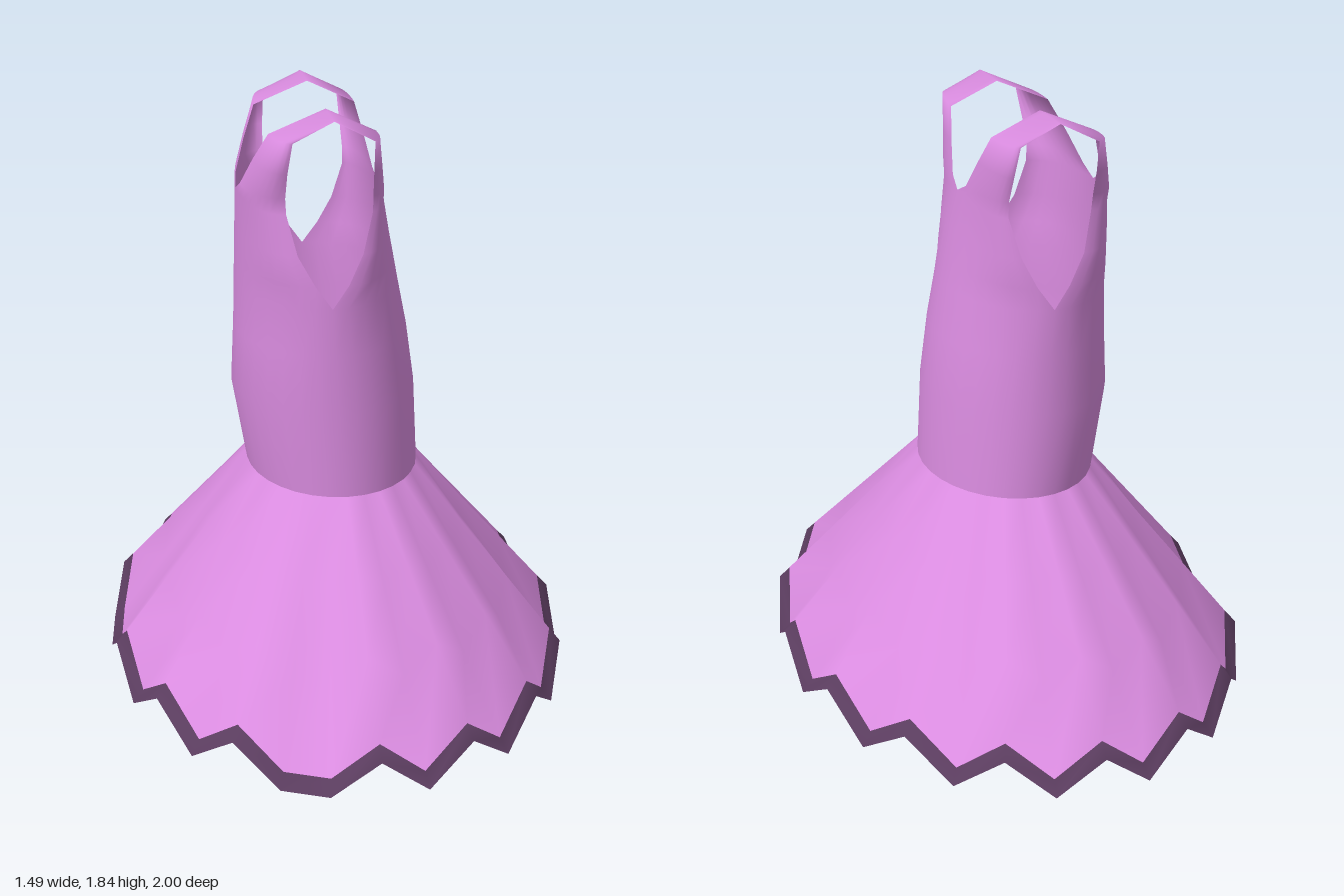
import * as THREE from 'three';
import { mergeGeometries, mergeVertices } from 'three/addons/utils/BufferGeometryUtils.js';

const SEGMENTS = 32;

// Surface through rows of points (bottom to top, each row running to the right seen from outside)
function gridGeometry(rows, closed) {
  const n = rows[0].length;
  const index = [];
  for (let i = 0; i < rows.length - 1; i++) {
    for (let j = 0; j < (closed ? n : n - 1); j++) {
      const k = (j + 1) % n;
      const a = i * n + j, b = i * n + k, c = a + n, d = b + n;
      index.push(a, b, d, a, d, c);
    }
  }
  const g = new THREE.BufferGeometry();
  g.setAttribute('position', new THREE.Float32BufferAttribute(rows.flat(2), 3));
  g.setIndex(index);
  return g;
}

// Elliptical ring; the height comes from a rule per column
function ring(rx, rz, cx, height) {
  return Array.from({ length: SEGMENTS }, (_, j) => {
    const a = (j / SEGMENTS) * Math.PI * 2;
    return [cx + rx * Math.sin(a), height(j), rz * Math.cos(a)];
  });
}

// Zigzag hem: 1 at a peak, 0 at a point; one stretch is shifted by a step
function zigzag(j) {
  const shifted = j >= 24 && j <= 30;
  return (j + (shifted ? 1 : 0)) % 2 === 0 ? 1 : 0;
}

// Bodice rows: centre or neckline edge [y, z, xFront, xBack], then side or armhole edge [y, z, xFront, xBack]
const BODICE = [
  [[0.66, 0, -0.28, 0.27], [0.66, 0.36, -0.005, -0.005]],
  [[0.93, 0, -0.325, 0.257], [0.93, 0.36, -0.03, -0.03]],
  [[1.12, 0, -0.315, 0.23], [1.12, 0.36, -0.04, -0.04]],
  [[1.27, 0, -0.31, 0.2], [1.27, 0.36, -0.05, -0.05]],
  [[1.36, 0, -0.307, 0.183], [1.34, 0.352, -0.1, 0.0]],
  [[1.45, 0, -0.303, 0.165], [1.43, 0.333, -0.15, 0.045]],
  [[1.56, 0, -0.3, 0.143], [1.55, 0.305, -0.18, 0.077]],
  [[1.59, 0.07, -0.293, 0.137], [1.6, 0.31, -0.183, 0.077]],
  [[1.68, 0.14, -0.26, 0.12], [1.68, 0.345, -0.18, 0.073]],
  [[1.77, 0.21, -0.22, 0.1], [1.78, 0.39, -0.17, 0.068]],
  [[1.84, 0.21, -0.05, -0.05], [1.84, 0.39, -0.05, -0.05]],
];

// One quarter of the bodice, from the centre line to the side seam
function bodiceQuarter(back, sz) {
  const steps = SEGMENTS / 4;
  const xi = back ? 3 : 2;
  const rows = BODICE.map(([inner, outer]) => {
    const row = [];
    for (let j = 0; j <= steps; j++) {
      const a = (j / steps) * Math.PI / 2;
      const s = Math.sin(a), c = j === steps ? 0 : Math.cos(a);
      row.push([
        outer[xi] + (inner[xi] - outer[xi]) * c,
        inner[0] + (outer[0] - inner[0]) * s,
        sz * (inner[1] + (outer[1] - inner[1]) * s),
      ]);
    }
    return back === (sz > 0) ? row.reverse() : row;
  });
  return gridGeometry(rows, false);
}

export function createModel() {
  const dress = new THREE.Group();
  dress.name = 'dress';
  const fabric = new THREE.MeshStandardMaterial({ color: 0xda8ce0, side: THREE.DoubleSide });
  const border = new THREE.MeshStandardMaterial({ color: 0x5a3c5e, side: THREE.DoubleSide });

  const add = (name, geometry, material) => {
    geometry.computeVertexNormals();
    const mesh = new THREE.Mesh(geometry, material);
    mesh.name = name;
    dress.add(mesh);
  };

  // Bodice with necklines, armholes and shoulder straps
  const quarters = [];
  for (const back of [false, true]) for (const sz of [1, -1]) quarters.push(bodiceQuarter(back, sz));
  add('bodice', mergeVertices(mergeGeometries(quarters), 1e-4), fabric);

  // Flared skirt falling straight from the waist to the zigzag hem
  const hem = ring(0.71, 0.957, 0, (j) => 0.038 + 0.115 * zigzag(j));
  const waist = ring(0.275, 0.36, -0.005, () => 0.66);
  const between = (t) => hem.map((p, j) => p.map((v, k) => v + (waist[j][k] - v) * t));
  add('skirt', gridGeometry([hem, between(0.33), between(0.67), waist], true), fabric);

  // Dark border continuing the slope of the skirt
  const rim = ring(0.745, 0.998, 0, (j) => 0.115 * zigzag(j));
  add('hemBorder', gridGeometry([rim, hem], true), border);

  return dress;
}
